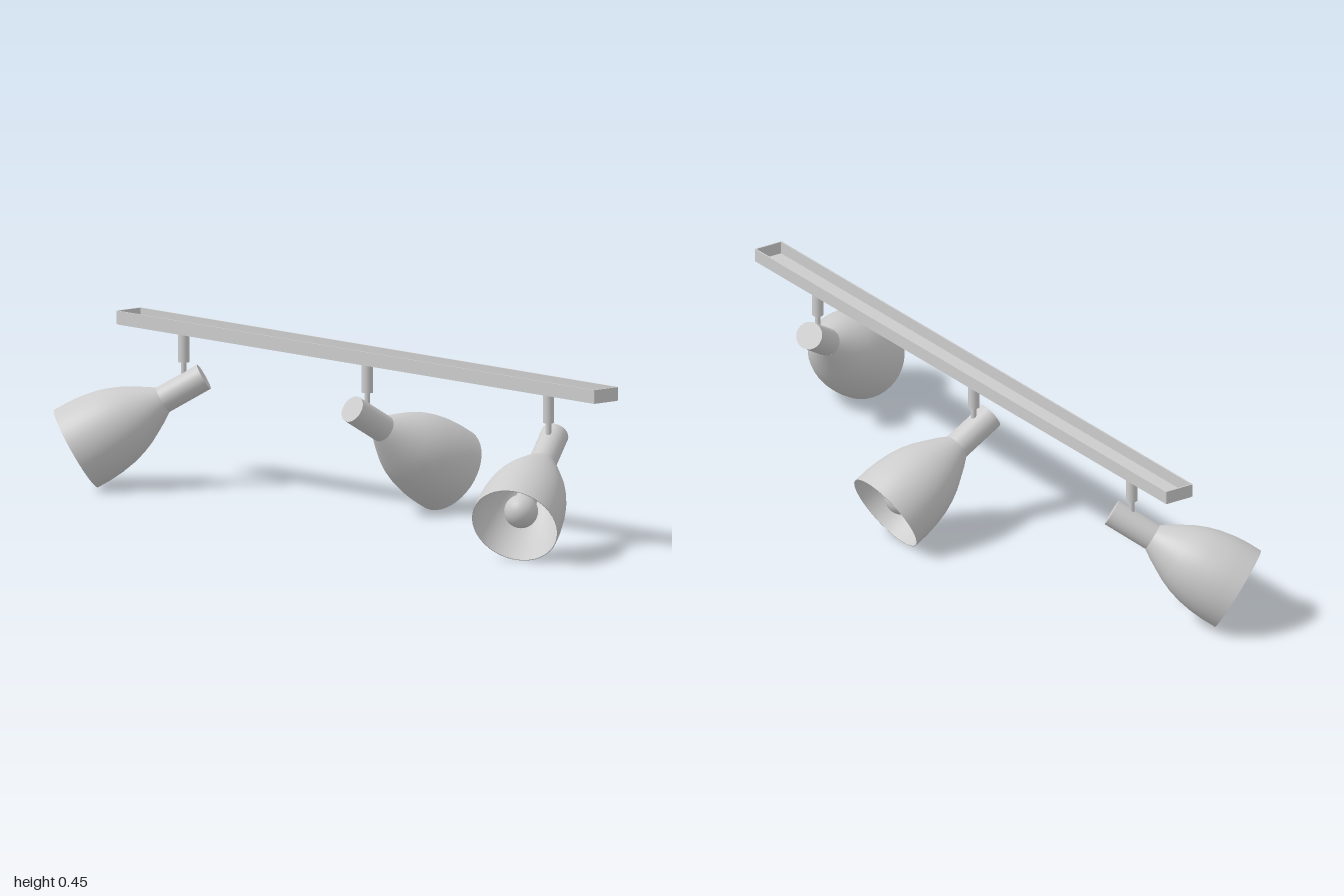
import * as THREE from 'three';

const material = new THREE.MeshStandardMaterial({ color: 0xcccccc, roughness: 0.7 });
const AXIS_Z = 0.01, PIVOT_Y = 0.27;

function add(parent, name, geometry, x = 0, y = 0, z = 0) {
  const mesh = new THREE.Mesh(geometry, material);
  mesh.name = name;
  mesh.position.set(x, y, z);
  parent.add(mesh);
  return mesh;
}

function roundedRect(shape, w, h, r) {
  const x = w / 2, y = h / 2;
  shape.moveTo(-x + r, -y);
  shape.lineTo(x - r, -y).quadraticCurveTo(x, -y, x, -y + r);
  shape.lineTo(x, y - r).quadraticCurveTo(x, y, x - r, y);
  shape.lineTo(-x + r, y).quadraticCurveTo(-x, y, -x, y - r);
  shape.lineTo(-x, -y + r).quadraticCurveTo(-x, -y, -x + r, -y);
  return shape;
}

// Shallow tray, open at the top
function createRail() {
  const rail = new THREE.Group();
  rail.name = 'rail';
  const length = 1.9, width = 0.087, wall = 0.004;
  const frame = roundedRect(new THREE.Shape(), length, width, 0.003);
  frame.holes.push(roundedRect(new THREE.Path(), length - 2 * wall, width - 2 * wall, 0.001));
  const walls = new THREE.ExtrudeGeometry(frame, { depth: 0.035, bevelEnabled: false, curveSegments: 3 });
  walls.rotateX(-Math.PI / 2);
  add(rail, 'railWalls', walls, 0, 0.422, 0);
  add(rail, 'railFloor', new THREE.BoxGeometry(length - 0.005, wall, width - 0.005), 0, 0.422, 0);
  rail.position.set(0.025, 0, AXIS_Z);
  return rail;
}

// Lamp head along +y, with its pivot at the origin
function createHead() {
  const head = new THREE.Group();
  head.name = 'lampHead';
  add(head, 'socket', new THREE.CylinderGeometry(0.037, 0.037, 0.126, 32), 0, 0.001, 0);

  const profile = [[0.037, 0.064], [0.053, 0.088], [0.069, 0.116], [0.085, 0.145], [0.098, 0.176],
    [0.108, 0.21], [0.115, 0.25], [0.118, 0.288], [0.118, 0.329]];
  const wall = 0.002;
  const outer = profile.map(([r, y]) => new THREE.Vector2(r, y));
  const inner = profile.map(([r, y]) => new THREE.Vector2(r - wall, y)).reverse();
  add(head, 'shadeOuter', new THREE.LatheGeometry(outer, 40));
  add(head, 'shadeInner', new THREE.LatheGeometry(inner, 40));
  const lip = new THREE.RingGeometry(0.118 - wall, 0.118, 40).rotateX(-Math.PI / 2);
  add(head, 'shadeLip', lip, 0, 0.329, 0);

  // Bulb with its neck reaching back into the socket
  add(head, 'bulbNeck', new THREE.CylinderGeometry(0.03, 0.022, 0.18, 24), 0, 0.15, 0);
  add(head, 'bulb', new THREE.SphereGeometry(0.045, 24, 16), 0, 0.268, 0);
  return head;
}

function createSpot(name, x, yawDegrees) {
  const spot = new THREE.Group();
  spot.name = name;
  spot.position.set(x, 0, AXIS_Z);
  add(spot, 'stem', new THREE.CylinderGeometry(0.015, 0.015, 0.08, 24), 0, 0.38, 0);
  add(spot, 'pin', new THREE.CylinderGeometry(0.0075, 0.0075, 0.06, 16), 0, 0.315, 0);
  const head = createHead();
  head.position.y = PIVOT_Y;
  // Tilted 30 degrees below level, then turned about the stem
  head.rotation.set(THREE.MathUtils.degToRad(120), THREE.MathUtils.degToRad(yawDegrees), 0, 'YXZ');
  spot.add(head);
  return spot;
}

export function createModel() {
  const model = new THREE.Group();
  model.name = 'ceilingSpotlights';
  model.add(
    createRail(),
    createSpot('rightSpot', -0.705, -45),
    createSpot('middleSpot', 0.025, 180),
    createSpot('leftSpot', 0.745, 30)
  );
  return model;
}
